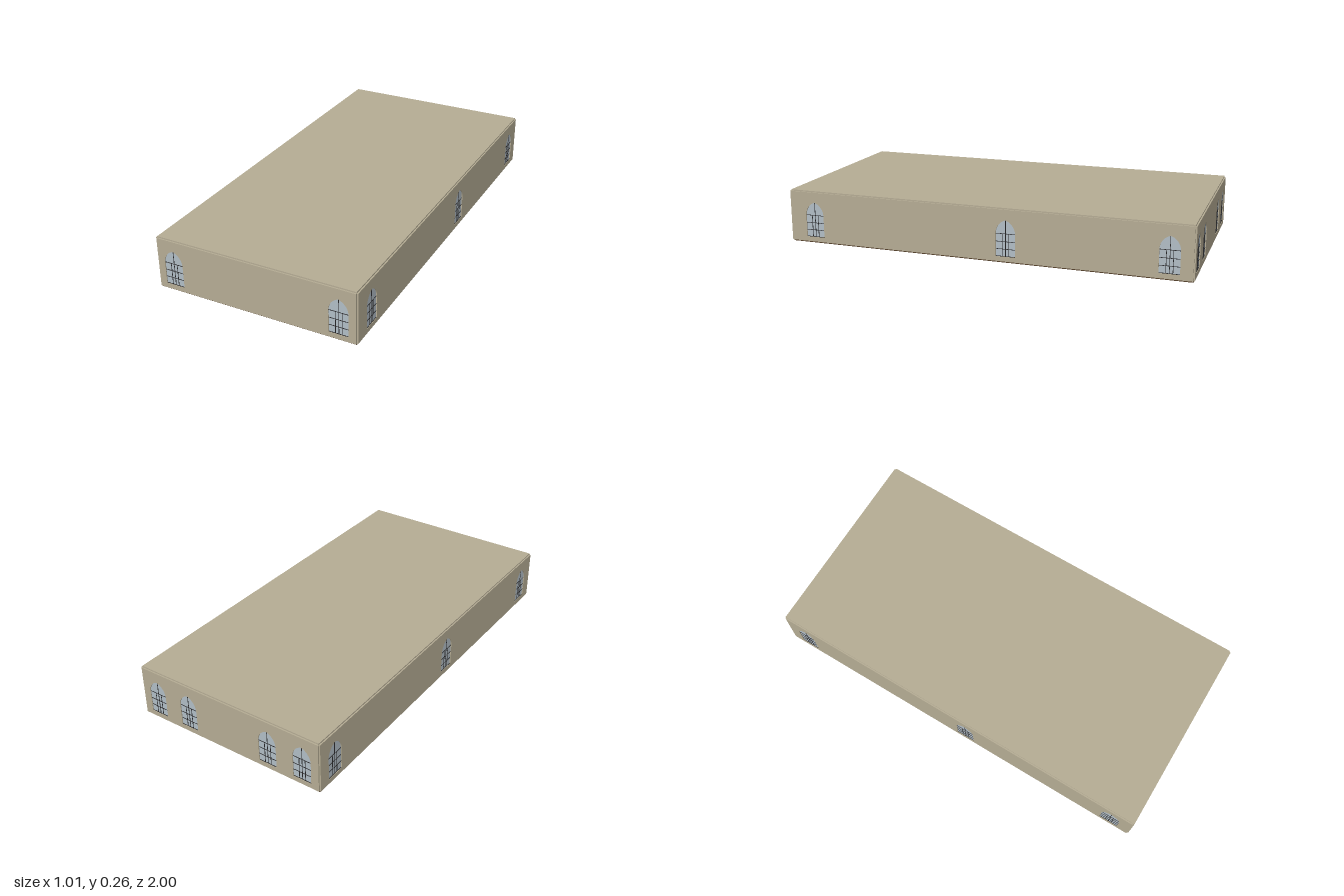
import * as THREE from 'three';

const mat = (name, color) => {
  const m = new THREE.MeshStandardMaterial({ color });
  m.name = name;
  return m;
};

export function createModel() {
  const stone = mat('sandstone', 0xb5ac94);
  const floorWood = mat('dark floor wood', 0x56422c);
  const glassMat = mat('pale glass', 0xb1bdc6);
  const iron = mat('dark iron', 0x2a2a2c);

  const T = 0.0065;                 // slab thickness
  const HX = 0.497, HZ = 1 - T;     // inner half sizes
  const H = 0.262;                  // total height
  const HALF = 0.0475, SILL = 0.03, SPRING = 0.14, APEX = 0.205; // window

  const model = new THREE.Group();
  model.name = 'hall';

  const add = (parent, name, geometry, material, x = 0, y = 0, z = 0) => {
    const mesh = new THREE.Mesh(geometry, material);
    mesh.name = name;
    mesh.position.set(x, y, z);
    parent.add(mesh);
    return mesh;
  };

  // Pointed arch outline centred on x = cx
  const arch = (cx, PathType) => {
    const p = new PathType();
    const rise = APEX - SPRING;
    const r = (HALF * HALF + rise * rise) / (2 * HALF);
    const a = Math.acos((r - HALF) / r);
    p.moveTo(cx - HALF, SILL);
    p.lineTo(cx + HALF, SILL);
    p.lineTo(cx + HALF, SPRING);
    p.absarc(cx + HALF - r, SPRING, r, 0, a, false);
    p.absarc(cx - HALF + r, SPRING, r, Math.PI - a, Math.PI, false);
    p.lineTo(cx - HALF, SILL);
    return p;
  };
  const extrude = (shape, depth) =>
    new THREE.ExtrudeGeometry(shape, { depth, bevelEnabled: false, curveSegments: 10 });

  // Glass pane and thin glazing bars, set inside the wall opening
  const addWindow = (wall, cx) => {
    const g = new THREE.Group();
    g.name = 'archedWindow';
    g.position.x = cx;
    wall.add(g);
    add(g, 'glass', extrude(arch(0, THREE.Shape), 0.001), glassMat, 0, 0, 0.0015);
    const bar = (name, w, h, x, y) =>
      add(g, name, new THREE.BoxGeometry(w, h, 0.0025), iron, x, y, 0.003);
    const W = 0.0024;
    bar('centreMullion', W, APEX - SILL - 0.002, 0, (SILL + APEX) / 2);
    for (const x of [-0.016, 0.016]) bar('mullion', W, SPRING - SILL, x, (SILL + SPRING) / 2);
    for (const y of [SILL + W / 2, 0.066, 0.102, SPRING]) bar('crossBar', HALF * 2, W, 0, y);
  };

  // Wall slab with window openings, facing local +z
  const addWall = (name, half, windows, x, z, turn) => {
    const wall = new THREE.Group();
    wall.name = name;
    wall.position.set(x, 0, z);
    wall.rotation.y = turn;
    const s = new THREE.Shape();
    s.moveTo(-half, T);
    s.lineTo(half, T);
    s.lineTo(half, H - T);
    s.lineTo(-half, H - T);
    s.closePath();
    for (const cx of windows) s.holes.push(arch(cx, THREE.Path));
    add(wall, name + 'Slab', extrude(s, T), stone);
    for (const cx of windows) addWindow(wall, cx);
    model.add(wall);
  };

  addWall('frontWall', HX, [-0.415, 0.415], 0, HZ, 0);
  addWall('backWall', HX, [-0.41, -0.225, 0.225, 0.41], 0, -HZ, Math.PI);
  addWall('leftWall', HZ, [-0.865, 0.128, 0.888], HX, 0, Math.PI / 2);
  addWall('rightWall', HZ, [-0.888, 0.065, 0.888], -HX, 0, -Math.PI / 2);

  // Roof and floor slabs
  const slab = () => new THREE.BoxGeometry(HX * 2, T, HZ * 2);
  add(model, 'roof', slab(), stone, 0, H - T / 2, 0);
  add(model, 'floor', slab(), floorWood, 0, T / 2, 0);

  return model;
}
